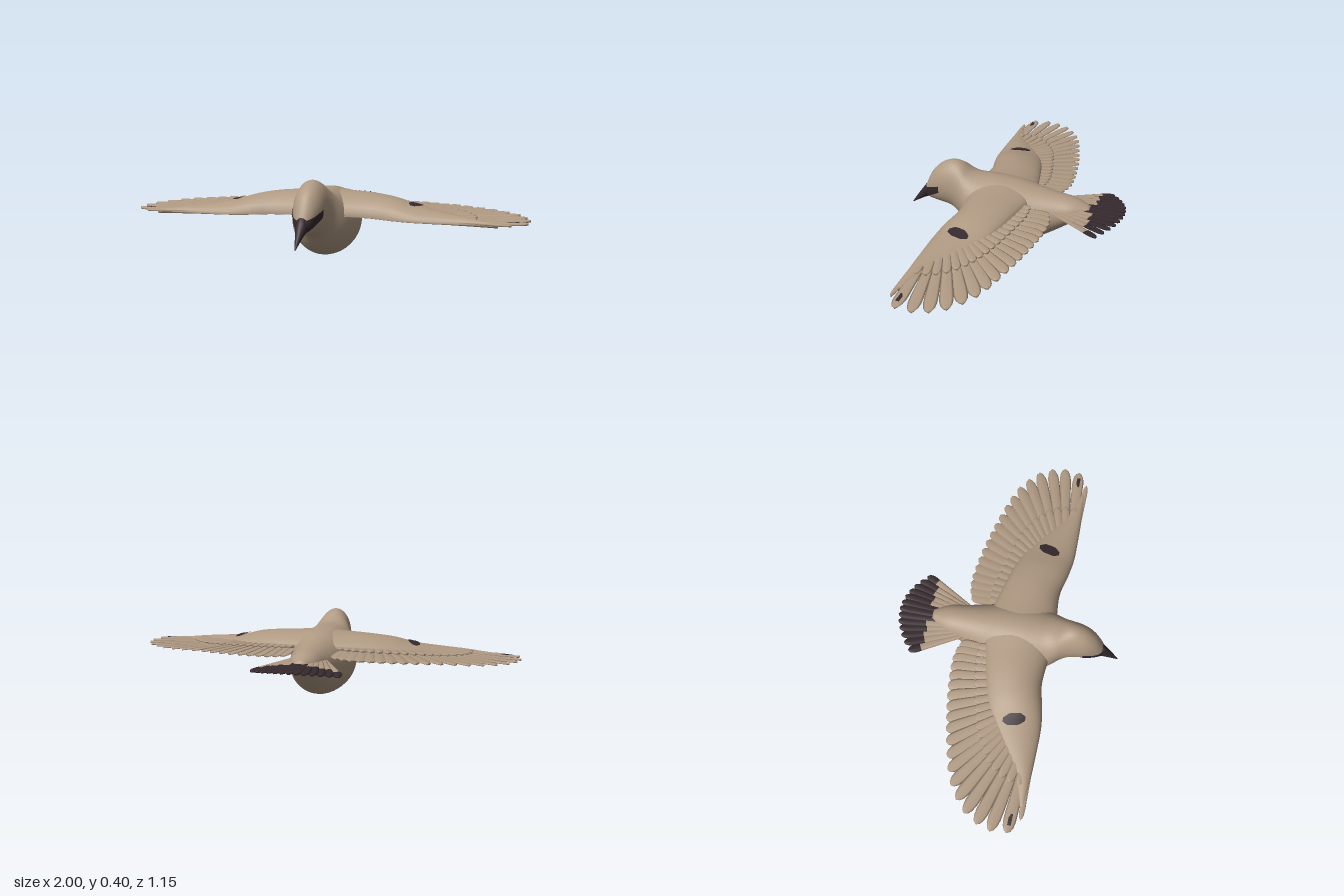
import * as THREE from 'three';
import { mergeGeometries } from 'three/addons/utils/BufferGeometryUtils.js';

const V = (x, y, z) => new THREE.Vector3(x, y, z);
const lerp = THREE.MathUtils.lerp;

// Smooth interpolation of a table whose first column is the key
function sample(rows, k) {
  const n = rows.length - 1;
  let i = 0;
  while (i < n - 1 && k > rows[i + 1][0]) i++;
  const a = rows[i], b = rows[i + 1], h = b[0] - a[0];
  const t = THREE.MathUtils.clamp((k - a[0]) / h, 0, 1);
  const slope = (j, c) => {
    const p = rows[Math.max(j - 1, 0)], q = rows[Math.min(j + 1, n)];
    return (q[c] - p[c]) / (q[0] - p[0]);
  };
  return a.map((v, c) => {
    const t2 = t * t, t3 = t2 * t;
    return v * (2 * t3 - 3 * t2 + 1) + b[c] * (3 * t2 - 2 * t3) +
      h * (slope(i, c) * (t3 - 2 * t2 + t) + slope(i + 1, c) * (t3 - t2));
  });
}

// Skin over closed rings, which run counterclockwise about the loft direction
function loft(rings) {
  const n = rings[0].length, pos = [], idx = [];
  rings.forEach(r => r.forEach(p => pos.push(p.x, p.y, p.z)));
  for (let i = 0; i < rings.length - 1; i++) for (let j = 0; j < n; j++) {
    const a = i * n + j, b = i * n + (j + 1) % n;
    idx.push(a, b, a + n, b, b + n, a + n);
  }
  const last = (rings.length - 1) * n;
  for (let j = 1; j < n - 1; j++) idx.push(0, j + 1, j, last, last + j, last + j + 1);
  return makeGeometry(pos, idx);
}

// Open patch from a function of u and v
function patch(fn, nu, nv) {
  const pos = [], idx = [];
  for (let i = 0; i <= nu; i++) for (let j = 0; j <= nv; j++) {
    const p = fn(i / nu, j / nv);
    pos.push(p.x, p.y, p.z);
    if (i < nu && j < nv) {
      const a = i * (nv + 1) + j, b = a + nv + 1;
      idx.push(a, b, a + 1, b, b + 1, a + 1);
    }
  }
  return makeGeometry(pos, idx);
}

function makeGeometry(pos, idx) {
  const g = new THREE.BufferGeometry();
  g.setAttribute('position', new THREE.Float32BufferAttribute(pos, 3));
  g.setIndex(idx);
  g.computeVertexNormals();
  return g;
}

function mirrored(geo) {
  const p = geo.attributes.position, pos = [];
  for (let i = 0; i < p.count; i++) pos.push(-p.getX(i), p.getY(i), p.getZ(i));
  return makeGeometry(pos, Array.from(geo.index.array).reverse());
}

// Elliptical ring across the body: z, top, bottom, half width
const bodyRing = ([z, top, bot, w], n = 40) => Array.from({ length: n }, (_, j) => {
  const a = j / n * Math.PI * 2;
  return V(w * Math.cos(a), (top + bot) / 2 + (top - bot) / 2 * Math.sin(a), z);
});

// Round-ended blade; from and to pick a stretch of its length
function feather(o, tip, w0, w1, from = 0, to = 1, roll = 0.12, thick = 0.006) {
  const D = tip.clone().sub(o).normalize();
  const S = V(0, 1, 0).cross(D).normalize().applyAxisAngle(D, roll);
  const U = D.clone().cross(S);
  const rings = [], n = 10;
  for (let i = 0; i <= n; i++) {
    const s = lerp(from, to, 1 - Math.pow(1 - i / n, 1.7));
    const e = Math.max(0, (s - 0.86) / 0.14);
    const w = lerp(w0, w1, Math.min(1, s * 1.25)) * Math.max(0.05, Math.sqrt(Math.max(0, 1 - e * e)));
    const c = o.clone().lerp(tip, s);
    rings.push(Array.from({ length: 8 }, (_, j) => {
      const a = j / 8 * Math.PI * 2;
      return c.clone().addScaledVector(S, w * Math.cos(a)).addScaledVector(U, thick * Math.sin(a));
    }));
  }
  return loft(rings);
}

// z, top, bottom, half width
const BODY = [
  [-0.4, 0.258, 0.214, 0.03], [-0.32, 0.286, 0.163, 0.072], [-0.23, 0.3, 0.1, 0.097],
  [-0.135, 0.316, 0.043, 0.125], [-0.04, 0.335, 0.01, 0.152], [0.065, 0.345, 0, 0.165],
  [0.14, 0.345, 0.006, 0.16], [0.2, 0.347, 0.025, 0.143], [0.24, 0.363, 0.052, 0.122],
  [0.27, 0.386, 0.08, 0.102], [0.31, 0.4, 0.122, 0.086], [0.35, 0.396, 0.142, 0.079],
  [0.4, 0.37, 0.15, 0.07], [0.45, 0.314, 0.157, 0.05], [0.48, 0.25, 0.163, 0.03], [0.492, 0.222, 0.17, 0.02]];

// x, leading z, trailing z, leading y, trailing y, hump height
const ARM = [
  [0.04, 0.235, -0.12, 0.215, 0.262, 0.1], [0.12, 0.225, -0.1, 0.215, 0.262, 0.092],
  [0.25, 0.217, -0.07, 0.212, 0.258, 0.086], [0.36, 0.24, -0.04, 0.208, 0.25, 0.075],
  [0.46, 0.255, 0.0, 0.206, 0.24, 0.052], [0.58, 0.256, 0.08, 0.206, 0.228, 0.038],
  [0.72, 0.253, 0.17, 0.206, 0.215, 0.026], [0.86, 0.248, 0.225, 0.205, 0.208, 0.01]];

function armY(x, z, side) {
  const [, lead, trail, yl, yt, hump] = sample(ARM, x);
  const t = THREE.MathUtils.clamp((lead - z) / (lead - trail), 0, 1);
  const s = Math.sqrt(Math.max(0, 1 - (2 * t - 1) ** 2));
  return lerp(yl, yt, t) + (side > 0 ? hump * s * (1.2 - 0.5 * t) : side * 0.012 * s);
}

// Feather tips in plan, from the leading edge round to the body
const TIPS = [
  [0.92, 0.243], [0.992, 0.19], [1.0, 0.11], [0.982, 0.04], [0.945, -0.025], [0.89, -0.075],
  [0.83, -0.115], [0.765, -0.143], [0.7, -0.163], [0.635, -0.182], [0.575, -0.197], [0.52, -0.21],
  [0.465, -0.222], [0.41, -0.232], [0.355, -0.24], [0.305, -0.246], [0.255, -0.25], [0.21, -0.25],
  [0.17, -0.243], [0.135, -0.23]];

export function createModel() {
  const root = new THREE.Group();
  const tan = new THREE.MeshStandardMaterial({ color: 0xb09a83 });
  const dark = new THREE.MeshStandardMaterial({ color: 0x35292d, side: THREE.DoubleSide });
  tan.name = 'tan plumage';
  dark.name = 'dark markings';
  const add = (name, geo, mat) => {
    const m = new THREE.Mesh(geo, mat);
    m.name = name;
    root.add(m);
  };
  const pair = (name, geo, mat) => {
    add('left' + name, geo, mat);
    add('right' + name, mirrored(geo), mat);
  };

  // Body and head in one smooth skin
  const zs = Array.from({ length: 61 }, (_, i) => lerp(-0.4, 0.492, i / 60));
  add('body', loft(zs.map(z => bodyRing(sample(BODY, z)))), tan);

  // Beak
  add('beak', loft([[0.474, 0.255, 0.163, 0.032], [0.5, 0.22, 0.152, 0.025],
    [0.54, 0.165, 0.128, 0.013], [0.575, 0.112, 0.106, 0.002]].map(r => bodyRing(r, 16))), dark);

  // Eye stripes lying on the head
  pair('EyeStripe', patch((u, v) => {
    const z = lerp(0.39, 0.488, u);
    const [, top, bot, w] = sample(BODY, z);
    const y = lerp(lerp(0.232, 0.168, u), lerp(0.27, 0.228, u), v);
    const q = (y - (top + bot) / 2) / ((top - bot) / 2);
    return V(w * Math.sqrt(Math.max(0, 1 - q * q)) + 0.004, y, z);
  }, 12, 6), dark);

  // Wing arms
  const arm = [];
  for (let i = 0; i <= 40; i++) {
    const x = lerp(0.04, 0.86, i / 40), [, lead, trail] = sample(ARM, x);
    arm.push(Array.from({ length: 28 }, (_, j) => {
      const a = j / 28 * Math.PI * 2;
      const z = lerp(lead, trail, (1 + Math.cos(a)) / 2);
      return V(x, armY(x, z, Math.sin(a) >= 0 ? 1 : -1), z);
    }));
  }
  pair('WingArm', loft(arm), tan);

  // Flight feathers and a shorter row of coverts above them
  const flight = [], coverts = [];
  TIPS.forEach(([tx, tz], i) => {
    const p = Math.min(1, i / 9), s = Math.max(0, (i - 9) / 10);
    const ox = i < 9 ? lerp(0.54, 0.44, p) : lerp(0.44, 0.13, s);
    const oz = i < 9 ? lerp(0.235, 0.07, p) : lerp(0.07, 0.03, s);
    const o = V(ox, armY(ox, oz, -1) + 0.018, oz);
    const tip = V(tx, lerp(0.209, 0.236, p) + 0.008 * s, tz);
    const w = lerp(0.031, 0.034, s);
    flight.push(feather(o, tip, 0.016, i ? w : 0.014));
    if (i) {
      const end = o.clone().lerp(tip, lerp(0.5, 0.62, s));
      end.y += 0.012 + 0.012 * s;
      coverts.push(feather(o.clone().add(V(0, 0.014, 0)), end, 0.014, 0.023));
    }
  });
  pair('FlightFeathers', mergeGeometries(flight), tan);
  pair('WingCoverts', mergeGeometries(coverts), tan);

  // Dark wing spots above and below, and a small fleck near the tip
  for (const side of [1, -1]) {
    pair(side > 0 ? 'UpperWingSpot' : 'LowerWingSpot', patch((u, v) => {
      const x = lerp(0.475, 0.452, u) + (v - 0.5) * 0.058 * Math.min(1, 0.35 + 2.6 * Math.min(u, 1 - u));
      const z = lerp(0.065, 0.172, u);
      return V(x, armY(x, z, side) + side * 0.005, z);
    }, 10, 5), dark);
  }
  pair('WingTipFleck', patch((u, v) => V(lerp(0.9, 0.955, u), 0.2195, lerp(0.186, 0.204, v)), 2, 2), dark);

  // Fanned tail with a dark end band
  const base = [], band = [];
  for (let i = 0; i < 13; i++) {
    const u = i / 6 - 1, q = u * u;
    const o = V(0.075 * u, 0.244 - 0.012 * q, -0.23);
    const tip = V(0.21 * u, 0.244 - 0.024 * q, -0.577 + 0.095 * q);
    const cut = ((Math.abs(u) < 0.2 ? -0.375 : -0.425 + 0.01 * (i % 2)) + 0.23) / (tip.z + 0.23);
    base.push(feather(o, tip, 0.018, 0.024, 0, cut, -0.15 * u));
    band.push(feather(o, tip, 0.018, 0.024, cut, 1, -0.15 * u));
  }
  add('tailFeathers', mergeGeometries(base), tan);
  add('tailBand', mergeGeometries(band), dark);
  return root;
}
